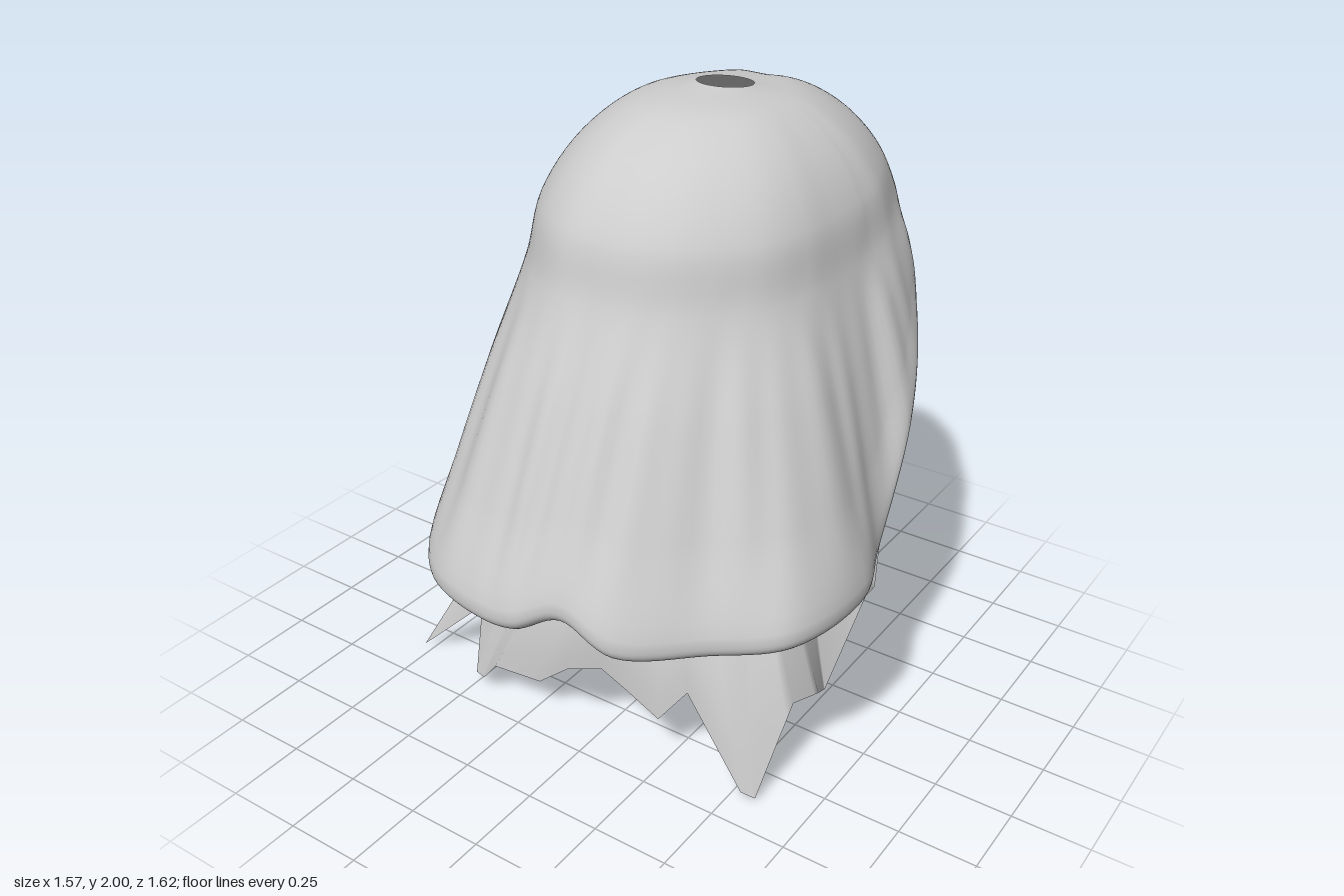
import * as THREE from 'three';
import { ParametricGeometry } from 'three/addons/geometries/ParametricGeometry.js';

const { smoothstep } = THREE.MathUtils;
const V = (a) => new THREE.Vector3(...a);
const loop = (pts) => new THREE.CatmullRomCurve3(pts.map(V), true);
const COLS = 21;
const CENTER = new THREE.Vector3(0.03, 0, -0.25);

// Outer hem, from the front round by +x to the back and home by -x
const rim = loop([
  [0, .68, .80], [.15, .75, .77], [.32, .68, .75], [.53, .67, .58], [.72, .69, .44], [.78, .70, .13], [.72, .73, -.06],
  [.70, 1.06, -.26], [.61, 1.28, -.45], [.43, 1.46, -.67], [.18, 1.64, -.81], [0, 1.65, -.78], [-.20, 1.62, -.80],
  [-.40, 1.42, -.66], [-.50, 1.24, -.42], [-.55, .98, -.22], [-.56, .70, -.02], [-.56, .68, .30], [-.52, .67, .53],
  [-.35, .67, .73], [-.13, .67, .80],
]);

// Shoulder loop where the dome turns into the hanging cloth
const shoulder = loop([
  [.02, 1.52, .42], [.13, 1.52, .41], [.25, 1.52, .36], [.36, 1.52, .27], [.45, 1.52, .16], [.50, 1.53, .03], [.52, 1.54, -.11],
  [.53, 1.56, -.26], [.52, 1.6, -.40], [.40, 1.66, -.64], [.18, 1.73, -.78], [.02, 1.73, -.75], [-.18, 1.71, -.76],
  [-.35, 1.62, -.62], [-.44, 1.57, -.42], [-.47, 1.55, -.26], [-.48, 1.53, -.11], [-.45, 1.52, .04], [-.38, 1.52, .19],
  [-.26, 1.52, .33], [-.12, 1.52, .41],
]);

// Inner opening: neck line at the front, edge of the face opening at the back
const opening = loop([
  [.02, .73, .32], [.13, .72, .32], [.26, .72, .29], [.37, .72, .24], [.46, .72, .16], [.52, .73, .06], [.56, .76, -.08],
  [.58, .92, -.27], [.50, 1.22, -.42], [.36, 1.40, -.60], [.16, 1.52, -.70], [.02, 1.54, -.70], [-.16, 1.50, -.69],
  [-.33, 1.34, -.57], [-.44, 1.17, -.40], [-.50, .92, -.26], [-.51, .76, -.08], [-.47, .72, .08], [-.38, .72, .19],
  [-.25, .72, .27], [-.11, .72, .31],
]);

// Torn lower edge of the inner cloth, from +x back round the front to -x back
const torn = [
  [.62, .87, -.30], [.66, .50, -.18], [.68, .53, -.08], [.60, .19, 0], [.64, .27, .12], [.62, .30, .24], [.58, .01, .38],
  [.54, .03, .40], [.33, .30, .38], [.25, .19, .42], [.12, .24, .41], [.02, .27, .40], [-.10, .23, .42], [-.20, .15, .44],
  [-.37, .15, .46], [-.46, .04, .42], [-.50, .04, .41], [-.53, .25, .33], [-.79, 0, .35], [-.50, .55, .20],
  [-.68, .43, .09], [-.53, .60, .03], [-.52, .60, -.10], [-.50, .87, -.28],
].map(V);

const at = (curve, col) => curve.getPoint((((col / COLS) % 1) + 1) % 1);

// Pull a point towards the vertical axis of the crown and shift its height
function inset(p, amount, dy = 0) {
  const d = new THREE.Vector3(CENTER.x - p.x, 0, CENTER.z - p.z).normalize();
  p.addScaledVector(d, amount);
  p.y += dy;
  return p;
}

// Crown: quarter-ellipse from the round top hole to the shoulder, flatter towards the back
function crown(col, t) {
  const s = at(shoulder, col);
  const dir = s.clone().sub(CENTER).setY(0).normalize();
  const hole = CENTER.clone().addScaledVector(dir, 0.085);
  hole.y = 1.992 + 0.008 * dir.z;
  const a = t * Math.PI / 2;
  const p = hole.clone().lerp(s, Math.sin(a));
  p.y = s.y + (hole.y - s.y) * Math.cos(a);
  const flatten = 0.1 + 0.25 * Math.max(0, -dir.z);
  return p.lerp(hole.lerp(s, t), flatten * Math.sin(a));
}

// Hanging cloth: shoulder to hem with soft vertical folds
function drape(col, t) {
  const p = at(shoulder, col).lerp(at(rim, col), t);
  const a = col / COLS * Math.PI * 2;
  const fold = 0.006 * Math.sin(a * 17) + 0.004 * Math.sin(a * 29 + 1) - 0.01;
  return inset(p, fold * Math.sin(t * Math.PI));
}

// Rolled hem curling under the edge
function roll(col, t) {
  const a = t * Math.PI / 2;
  return inset(at(rim, col), 0.06 * (1 - Math.cos(a)), -0.05 * Math.sin(a));
}

// One smooth column of the hood, from the top hole over the shoulder to the rolled hem
function hoodColumn(col) {
  return new THREE.CatmullRomCurve3([
    ...[0, .25, .5, .75, 1].map((t) => crown(col, t)),
    ...[.33, .67, 1].map((t) => drape(col, t)),
    ...[.5, 1].map((t) => roll(col, t)),
  ]);
}

// Inner wall from the shoulder to the opening, bowed forward at the front
function lining(col, t) {
  const p = at(shoulder, col).lerp(at(opening, col), t);
  return inset(p, -0.12 * Math.sin(Math.PI * t ** 1.4) * smoothstep(p.z, -0.1, 0.3));
}

// Recessed band between rolled hem and opening
function underside(col, t) {
  const p = roll(col, 1).lerp(at(opening, col), t);
  p.y += 0.06 * Math.sin(t * Math.PI) * smoothstep(p.z, 0, 0.3);
  return p;
}

// Torn cloth below the neck
function tornCloth(w, t) {
  const f = w * (torn.length - 1);
  const i = Math.min(Math.floor(f), torn.length - 2);
  const hem = torn[i].clone().lerp(torn[i + 1], f - i);
  const p = at(opening, 7 - 13 * w).lerp(hem, t);
  p.z += 0.03 * Math.sin(t * Math.PI) * Math.sin(Math.PI * w);
  return p;
}

// Stepped free edge round the back opening
function steppedEdge(w, t) {
  const p = at(opening, 6.9 + w * 8.2);
  const low = Math.floor(p.y / 0.06) * 0.06 - 0.02;
  p.y += (low - p.y) * t;
  return p;
}

export function createModel() {
  const group = new THREE.Group();
  const cloth = new THREE.MeshStandardMaterial({ color: 0xcccccc, side: THREE.DoubleSide });
  cloth.name = 'pale grey cloth';

  function add(name, fn, slices, stacks) {
    const geo = new ParametricGeometry((u, v, target) => target.copy(fn(u, v)), slices, stacks);
    const mesh = new THREE.Mesh(geo, cloth);
    mesh.name = name;
    group.add(mesh);
  }

  const around = (fn) => (u, v) => fn((1 - u) * COLS, v);
  add('hood', around((col, t) => hoodColumn(col).getPoint(t)), 168, 54);
  add('innerLining', around(lining), 126, 20);
  add('hemUnderside', around(underside), 168, 10);
  add('tornCloth', tornCloth, (torn.length - 1) * 6, 12);
  add('steppedBackEdge', steppedEdge, 240, 2);
  return group;
}
